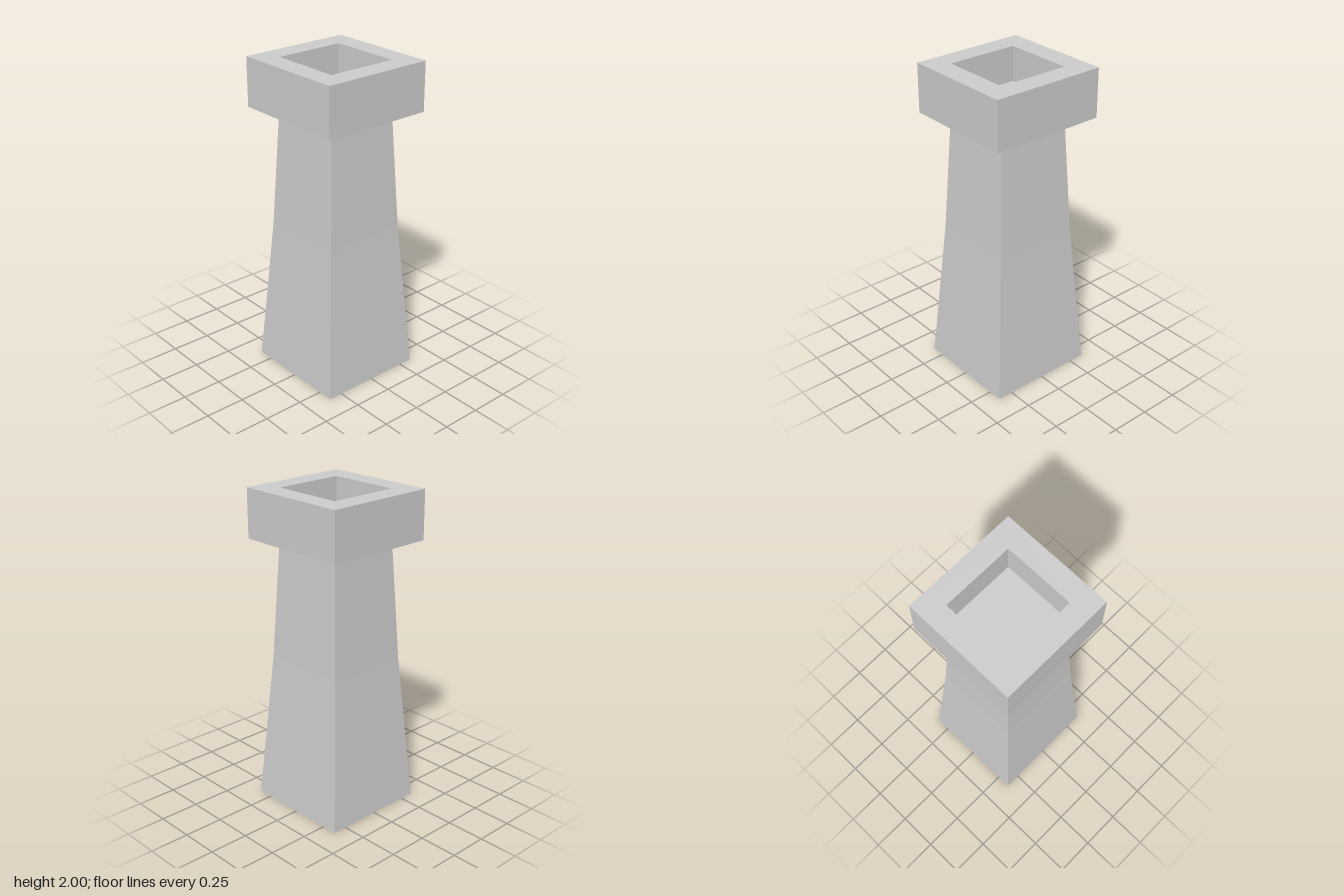
import * as THREE from 'three';

const DEPTH_RATIO = 1.025; // slightly deeper than wide

// Four-sided loft through [halfWidth, y] sections
function squareLoft(name, sections, material) {
  const profile = sections.map(([half, y]) => new THREE.Vector2(half * Math.SQRT2, y));
  const geometry = new THREE.LatheGeometry(profile, 4, Math.PI / 4);
  geometry.scale(1, 1, DEPTH_RATIO);
  const mesh = new THREE.Mesh(geometry, material);
  mesh.name = name;
  return mesh;
}

export function createModel() {
  const group = new THREE.Group();
  group.name = 'chimney';
  const material = new THREE.MeshStandardMaterial({
    color: 0xcccccc, flatShading: true, side: THREE.DoubleSide,
  });

  // Tapered hollow shaft, open at the bottom
  group.add(squareLoft('shaft', [[0.339, 0], [0.267, 0.95], [0.23, 1.695]], material));

  // Overhanging cap: underside, outer walls, rim and inner walls
  group.add(squareLoft('cap', [
    [0.23, 1.695], [0.358, 1.695], [0.358, 2], [0.223, 2], [0.223, 1.78],
  ], material));

  // Floor of the recess
  const floor = new THREE.Mesh(new THREE.PlaneGeometry(0.446, 0.446 * DEPTH_RATIO), material);
  floor.name = 'recessFloor';
  floor.rotation.x = -Math.PI / 2;
  floor.position.y = 1.78;
  group.add(floor);

  return group;
}
